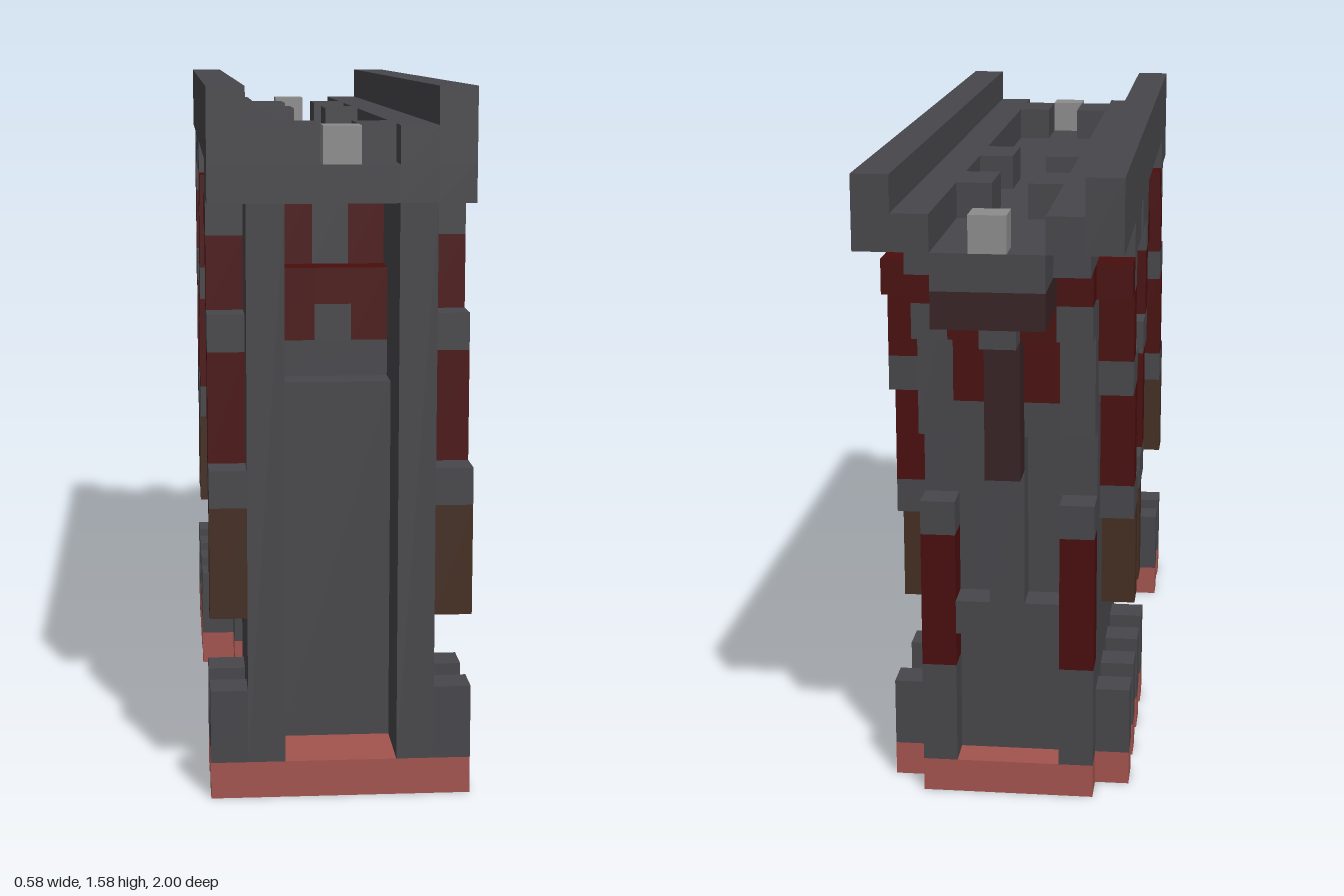
import * as THREE from 'three';

const U = 1 / 12; // one block

export function createModel() {
  const model = new THREE.Group();
  model.name = 'viaduct';
  const mat = (name, color) => {
    const m = new THREE.MeshStandardMaterial({ color });
    m.name = name;
    return m;
  };
  const stone = mat('dark stone', 0x47464a);
  const red = mat('dark red', 0x4a0d0d);
  const dark = mat('dark brown', 0x382223);
  const brown = mat('brown', 0x442e22);
  const clay = mat('clay', 0xa3544f);
  const lamp = mat('lamp grey', 0x8c8c8c);

  // Box from block x0..x1 inclusive (0 is the middle), height y0..y1, distance k0..k1 from the front end
  function box(parent, name, m, x0, x1, y0, y1, k0, k1) {
    const g = new THREE.BoxGeometry((x1 - x0 + 1) * U, (y1 - y0) * U, Math.abs(k1 - k0) * U);
    const mesh = new THREE.Mesh(g, m);
    mesh.name = name;
    mesh.position.set(((x0 + x1) / 2) * U, ((y0 + y1) / 2) * U, 1 - ((k0 + k1) / 2) * U);
    parent.add(mesh);
  }
  function pair(parent, name, m, x, ...rest) {
    for (const s of [-1, 1]) box(parent, name, m, s * x, s * x, ...rest);
  }

  // Deck: floor, ledges and parapets
  const deck = new THREE.Group();
  deck.name = 'deck';
  model.add(deck);
  box(deck, 'deckFloor', stone, -1, 1, 16, 17, 0, 24);
  for (const [a, b] of [[0, 6], [9, 22]]) pair(deck, 'deckEdge', stone, 2, 16, 17, a, b);
  pair(deck, 'ledge', stone, 2, 17, 18, 0, 24);
  pair(deck, 'parapet', stone, 3, 17, 19, 0, 24);
  for (const a of [0, 12, 16]) pair(deck, 'parapetFoot', stone, 3, 16, 17, a, a + 3);
  for (const a of [1, 12, 17]) pair(deck, 'ledgeStep', stone, 1, 17, 18, a, a + 2);
  for (const a of [0, 23]) box(deck, 'lamp', lamp, 0, 0, 17, 18, a, a + 1);

  // Dark ribs under the crown of each arch
  for (const [a, b] of [[5, 10], [21, 24]]) box(deck, 'archRib', dark, -1, 1, 15, 16, a, b);

  // Half a pier, counted in blocks d from its middle row
  function halfPier(center, s) {
    const g = new THREE.Group();
    g.name = 'halfPier';
    model.add(g);
    const k = (d0, d1) => [center + s * (d0 - 0.5), center + s * (d1 + 0.5)];
    // Foundation, hollow shell and end columns
    box(g, 'foundation', clay, -2, 2, 0, 1, ...k(1, 4));
    pair(g, 'sideWall', stone, 2, 1, 16, ...k(1, 3));
    box(g, 'endWall', stone, -1, 1, 1, 11, ...k(3, 3));
    pair(g, 'columnFoot', stone, 2, 1, 4, ...k(4, 4));
    pair(g, 'columnBand', red, 2, 4, 8, ...k(4, 4));
    pair(g, 'columnCap', stone, 2, 8, 9, ...k(4, 4));
    pair(g, 'columnHead', stone, 2, 11, 16, ...k(4, 4));
    // Pilaster and bands on the arch face
    box(g, 'faceLedge', stone, -1, 1, 5, 6, ...k(4, 4));
    box(g, 'pilaster', stone, 0, 0, 6, 11, ...k(4, 4));
    box(g, 'faceBand', stone, -1, 1, 11, 12, ...k(4, 4));
    box(g, 'pilasterHead', stone, 0, 0, 12, 13, ...k(4, 4));
    pair(g, 'faceRed', red, 1, 12, 14, ...k(4, 4));
    box(g, 'faceRedBridge', red, 0, 0, 13, 14, ...k(4, 4));
    // Arch springers and hanging post
    box(g, 'hangingPost', dark, 0, 0, 10, 14, ...k(5, 5));
    box(g, 'postHead', stone, 0, 0, 14, 16, ...k(5, 5));
    box(g, 'postBracket', stone, 0, 0, 14, 15, ...k(6, 6));
    pair(g, 'springerInner', red, 1, 14, 16, ...k(5, 5));
    pair(g, 'springerBlock', stone, 2, 14, 15, ...k(5, 5));
    pair(g, 'springerRed', red, 2, 15, 16, ...k(5, 5));
    // Stepped corbels on the long sides
    pair(g, 'corbelBrown', brown, 3, 5, 8, ...k(1, 1));
    pair(g, 'corbelLow', stone, 3, 8, 9, ...k(1, 2));
    pair(g, 'corbelRed', red, 3, 9, 12, ...k(2, 2));
    pair(g, 'corbelMiddle', stone, 3, 12, 13, ...k(2, 3));
    pair(g, 'corbelRedUpper', red, 3, 13, 15, ...k(3, 3));
    pair(g, 'corbelTop', stone, 3, 15, 16, ...k(3, 3));
    pair(g, 'corbelRedTop', red, 3, 15, 16, ...k(4, 4));
    // Outer buttress at the foot
    pair(g, 'buttressFoot', clay, 3, 0, 1, ...k(3, 3));
    pair(g, 'buttress', stone, 3, 1, 3, ...k(3, 3));
    // Inner buttresses
    pair(g, 'buttressFoot', clay, 3, 0, 1, ...k(1, 1));
    const sides = center < 0 ? [-3, 3] : [-3];
    for (const x of sides) box(g, 'buttress', stone, x, x, 1, 3, ...k(1, 1));
  }
  halfPier(-0.5, 1);
  halfPier(15.5, 1);
  halfPier(15.5, -1);

  // Middle row of the full pier
  box(model, 'foundationMiddle', clay, -2, 2, 0, 1, 15, 16);
  pair(model, 'sideWallMiddle', stone, 2, 1, 16, 15, 16);
  box(model, 'buttressFootMiddle', clay, 3, 3, 0, 1, 15, 16);
  box(model, 'buttressMiddle', stone, 3, 3, 1, 3, 15, 16);

  return model;
}
